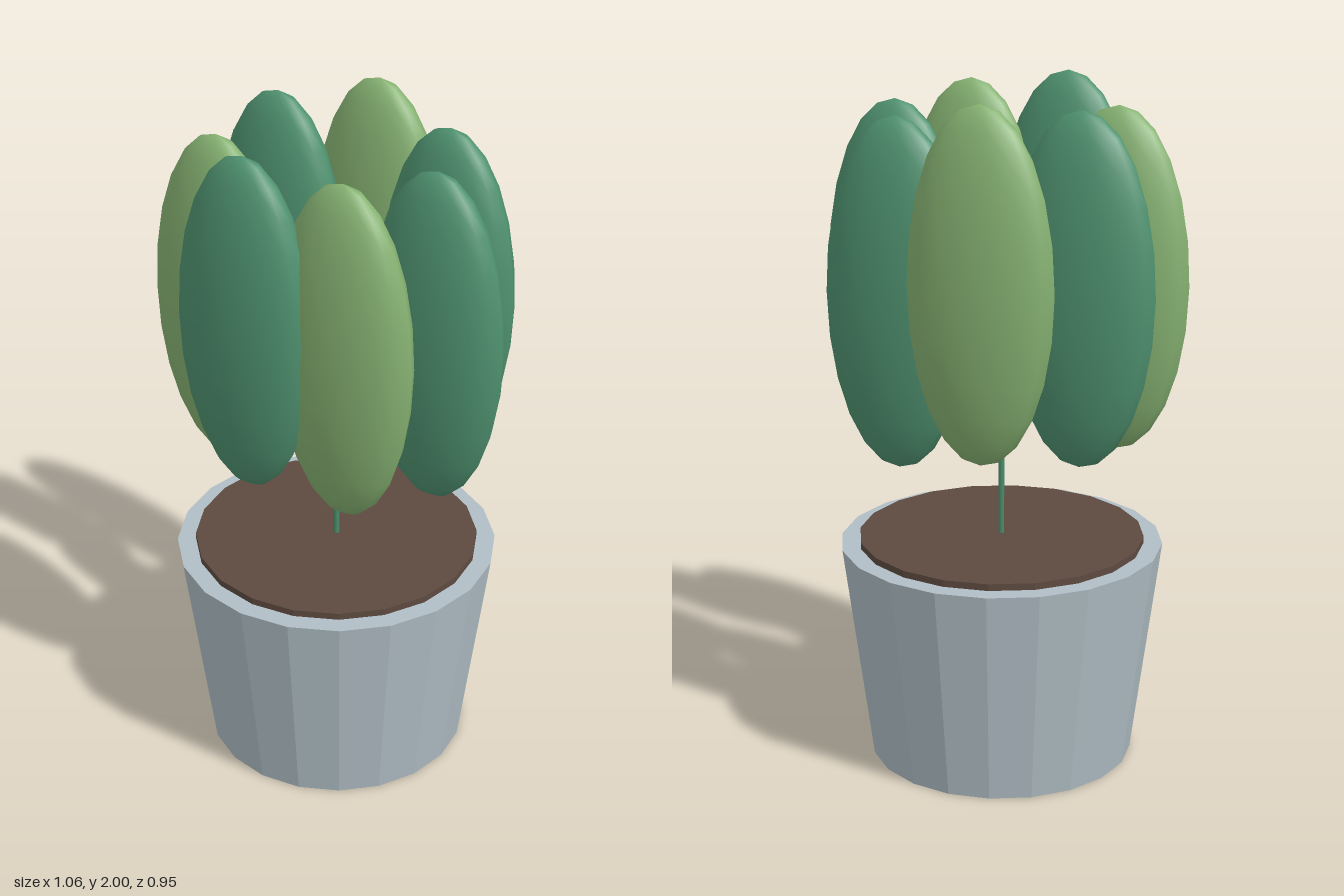
import * as THREE from 'three';

const CENTRE_X = -0.018;

function mat(color, flatShading = false) {
  return new THREE.MeshStandardMaterial({ color, flatShading });
}

function add(group, name, geometry, material, x, y, z) {
  const mesh = new THREE.Mesh(geometry, material);
  mesh.name = name;
  mesh.position.set(x, y, z);
  group.add(mesh);
  return mesh;
}

export function createModel() {
  const model = new THREE.Group();
  model.name = 'pottedPlant';

  // Tapered, faceted pot
  const potHeight = 0.655;
  add(model, 'pot', new THREE.CylinderGeometry(0.475, 0.39, potHeight, 20),
    mat(0xb0bec5, true), CENTRE_X, potHeight / 2, 0);

  // Soil disc standing slightly proud of the rim
  add(model, 'soil', new THREE.CylinderGeometry(0.42, 0.42, 0.04, 20),
    mat(0x5d4a40, true), CENTRE_X, 0.655, 0);

  // Thin stem rising into the foliage
  const stemBottom = 0.66, stemTop = 1.44;
  add(model, 'stem', new THREE.CylinderGeometry(0.009, 0.009, stemTop - stemBottom, 8),
    mat(0x4a8c6a), CENTRE_X, (stemTop + stemBottom) / 2, 0);

  // Ring of seven upright leaves, all facing the front, in alternating greens
  const leafGeometry = new THREE.SphereGeometry(1, 16, 12).scale(0.218, 0.504, 0.101);
  const greens = [mat(0x4f9270), mat(0x86b272)];
  const leaves = new THREE.Group();
  leaves.name = 'leaves';
  const count = 7, ring = 0.33;
  for (let i = 0; i < count; i++) {
    const a = (i / count) * Math.PI * 2;
    add(leaves, `leaf${i + 1}`, leafGeometry, greens[i % 2],
      CENTRE_X + ring * Math.cos(a), 1.436 + 0.03 * (i % 3), ring * Math.sin(a));
  }
  model.add(leaves);

  return model;
}
